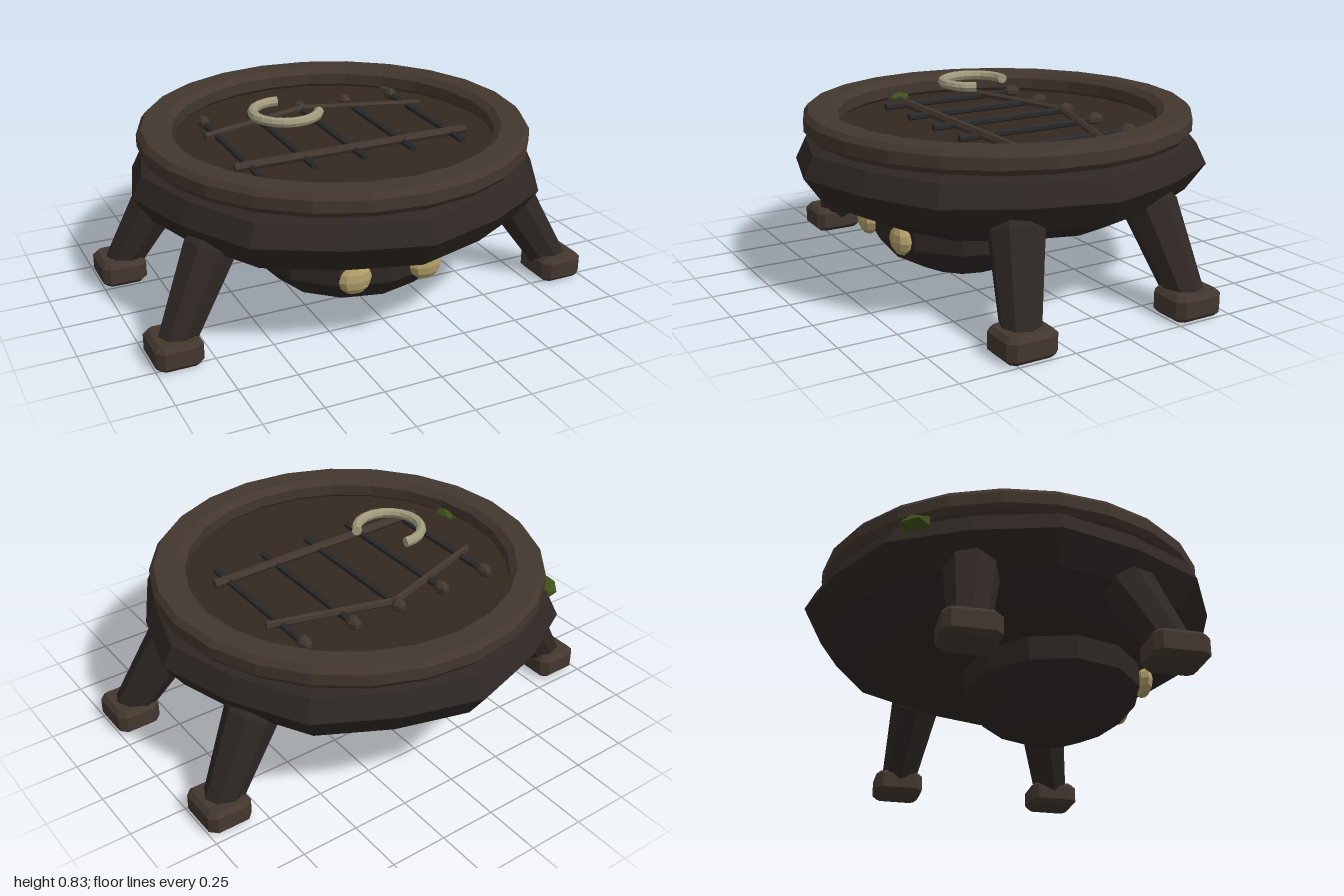
import * as THREE from 'three';

const mat = (color, side = THREE.FrontSide) =>
  new THREE.MeshStandardMaterial({ color, flatShading: true, side });
const shell = mat(0x2e2724), wood = mat(0x43372f), ground = mat(0x33281f),
  iron = mat(0x2a2a2a), bone = mat(0xa09a7c, THREE.DoubleSide), eyeMat = mat(0xb09d68), mossMat = mat(0x3f5218);

const V = (x, y, z) => new THREE.Vector3(x, y, z);
const lathe = (pts, n) => new THREE.LatheGeometry(pts.map(p => new THREE.Vector2(...p)), n);

export function createModel() {
  const root = new THREE.Group();
  const add = (name, geo, material, pos = [0, 0, 0], parent = root) => {
    const m = new THREE.Mesh(geo, material);
    m.name = name;
    m.position.set(...pos);
    parent.add(m);
    return m;
  };
  // Straight bar between two points; its profile runs from a to b
  const between = (name, geo, material, a, b, parent) => {
    const m = add(name, geo, material, a.toArray(), parent);
    m.quaternion.setFromUnitVectors(V(0, 1, 0), b.clone().sub(a).normalize());
    return m;
  };
  const bar = (name, a, b, w, material, parent) => {
    const len = a.distanceTo(b);
    return between(name, new THREE.CylinderGeometry(w, w, len, 6).translate(0, len / 2, 0), material, a, b, parent);
  };

  // Shell: faceted disc, every second corner pulled in a little
  const body = lathe([[0, 0.33], [0.65, 0.33], [0.83, 0.42], [0.915, 0.54], [0.87, 0.63], [0.79, 0.66], [0, 0.66]], 16);
  const p = body.attributes.position;
  for (let i = 0; i < p.count; i++) {
    const k = Math.round(Math.atan2(p.getX(i), p.getZ(i)) / (Math.PI / 8));
    if (k % 2) p.setXYZ(i, p.getX(i) * 0.965, p.getY(i), p.getZ(i) * 0.965);
  }
  add('shell', body, shell);
  add('shellFloor', new THREE.CircleGeometry(0.74, 24).rotateX(-Math.PI / 2), ground, [0, 0.664, 0]);

  // Raised rim
  add('rim', lathe([[0.7, 0.68], [0.73, 0.655], [0.83, 0.655], [0.85, 0.68], [0.85, 0.73], [0.83, 0.755],
    [0.73, 0.755], [0.7, 0.73], [0.7, 0.68]], 24), wood);

  // Head under the front of the shell, with two eyes
  const head = add('head', lathe([[0, 0.036], [0.19, 0.06], [0.345, 0.13], [0.435, 0.225], [0.435, 0.33], [0.35, 0.4]], 12),
    shell, [0, 0, 0.19]);
  head.scale.z = 0.9;
  for (const s of [-1, 1]) {
    const eye = add('eye', new THREE.SphereGeometry(0.075, 8, 6), eyeMat, [s * 0.163, 0.265, 0.565]);
    eye.scale.set(1, 0.85, 0.5);
  }

  // Four splayed legs with chamfered block feet
  const footShape = new THREE.Shape();
  const c = 0.03, fx = 0.1, fz = 0.113;
  [[-fx + c, -fz], [fx - c, -fz], [fx, -fz + c], [fx, fz - c], [fx - c, fz], [-fx + c, fz], [-fx, fz - c], [-fx, -fz + c]]
    .forEach(([x, y], i) => (i ? footShape.lineTo(x, y) : footShape.moveTo(x, y)));
  const footGeo = new THREE.ExtrudeGeometry(footShape, {
    depth: 0.07, bevelEnabled: true, bevelSegments: 1, bevelSize: 0.02, bevelThickness: 0.02, bevelOffset: -0.02
  }).rotateX(-Math.PI / 2);
  for (const s of [-1, 1]) {
    for (const [name, zFoot, zTop] of [['front', 0.425, 0.32], ['back', -0.36, -0.31]]) {
      const leg = new THREE.Group();
      leg.name = name + 'Leg';
      root.add(leg);
      const a = V(s * 0.89, 0.08, zFoot), b = V(s * 0.68, 0.45, zTop), len = a.distanceTo(b);
      between('shin', lathe([[0, 0], [0.08, 0], [0.115, len * 0.9], [0.08, len + 0.03], [0, len + 0.03]], 8), shell, a, b, leg);
      add('foot', footGeo, wood, [s * 0.9, 0.03, zFoot], leg);
    }
  }

  // Gate pattern lying in the rim: upright bars with tips, a rail and a gable
  const gate = new THREE.Group();
  gate.name = 'gate';
  root.add(gate);
  for (const x of [-0.47, -0.23, 0, 0.23, 0.47]) {
    bar('gateBar', V(x, 0.682, 0.32), V(x, 0.682, -0.34), 0.016, iron, gate);
    const tip = add('gateTip', new THREE.SphereGeometry(0.03, 6, 5), wood, [x, 0.685, -0.36], gate);
    tip.scale.z = 1.4;
  }
  bar('gateRail', V(-0.54, 0.69, 0.215), V(0.54, 0.69, 0.215), 0.02, wood, gate);
  for (const s of [-1, 1]) bar('gateGable', V(s * 0.53, 0.69, -0.175), V(0, 0.69, -0.335), 0.017, wood, gate);

  // Open ring hovering above the gate
  const ring = new THREE.Group();
  ring.name = 'openRing';
  ring.position.set(-0.22, 0.814, -0.005);
  ring.rotation.set(Math.PI / 2, 0, 0.44);
  root.add(ring);
  const arc = 4.4, R = 0.142, r = 0.022;
  add('ringArc', new THREE.TorusGeometry(R, r, 8, 14, arc), bone, [0, 0, 0], ring);
  for (const t of [0, arc]) {
    const cap = add('ringEnd', new THREE.CircleGeometry(r, 8), bone, [R * Math.cos(t), R * Math.sin(t), 0], ring);
    cap.rotation.set(Math.PI / 2, t, 0);
  }

  // Moss tufts around the rim
  for (const [x, y, z, size] of [[-0.67, 0.62, -0.54, 0.075], [0.53, 0.67, -0.49, 0.05],
    [-0.69, 0.67, 0.15, 0.06], [-0.57, 0.67, -0.47, 0.045]]) {
    const tuft = add('moss', new THREE.IcosahedronGeometry(size, 0), mossMat, [x, y, z]);
    tuft.scale.set(0.7, 0.5, 1.1);
    tuft.rotation.y = Math.atan2(-z, x);
  }
  return root;
}
